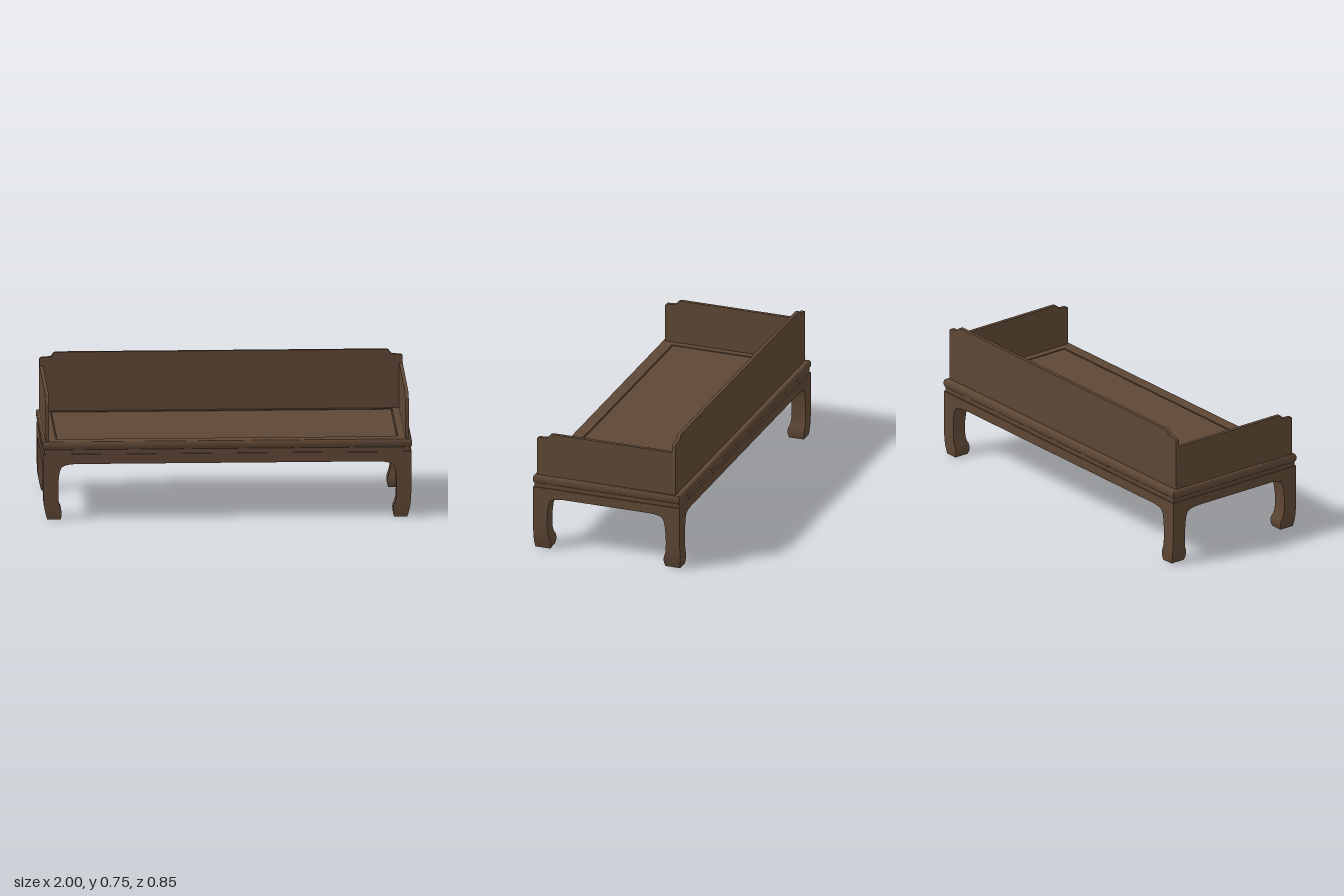
import * as THREE from 'three';
import { toCreasedNormals } from 'three/addons/utils/BufferGeometryUtils.js';

const wood = new THREE.MeshStandardMaterial({ color: 0x5e4735 });
wood.name = 'dark brown wood';

function part(name, geometry, parent) {
  const mesh = new THREE.Mesh(geometry, wood);
  mesh.name = name;
  parent.add(mesh);
  return mesh;
}

// Skins a stack of rectangles [x0, x1, z0, z1, y], listed from the bottom up.
function loft(sections, capped) {
  const rings = sections.map(([x0, x1, z0, z1, y]) =>
    [[x0, y, z1], [x1, y, z1], [x1, y, z0], [x0, y, z0]]);
  const pos = [];
  const quad = (a, b, c, d) => pos.push(...a, ...b, ...c, ...a, ...c, ...d);
  for (let i = 0; i < rings.length - 1; i++) {
    for (let k = 0; k < 4; k++) {
      const n = (k + 1) % 4;
      quad(rings[i][k], rings[i][n], rings[i + 1][n], rings[i + 1][k]);
    }
  }
  if (capped) {
    const b = rings[0], t = rings[rings.length - 1];
    quad(b[3], b[2], b[1], b[0]);
    quad(t[0], t[1], t[2], t[3]);
  }
  const g = new THREE.BufferGeometry();
  g.setAttribute('position', new THREE.Float32BufferAttribute(pos, 3));
  return toCreasedNormals(g, 0.6);
}

// Rectangular frame from a closed profile of [half width, half depth, y].
const frame = (profile) =>
  loft([...profile, profile[0]].map(([x, z, y]) => [-x, x, -z, z, y]), false);

function extrude(shape, depth) {
  const g = new THREE.ExtrudeGeometry(shape, { depth, bevelEnabled: false, curveSegments: 8 });
  return toCreasedNormals(g, 0.6);
}

// Apron with rounded spandrels; "inner" is where the leg's inside face stands.
function apronShape(inner) {
  const s = new THREE.Shape();
  const end = inner + 0.045;
  s.moveTo(-end, 0.36);
  s.lineTo(-end, 0.2);
  s.lineTo(-inner, 0.2);
  s.bezierCurveTo(-inner + 0.003, 0.25, -inner + 0.008, 0.275, -inner + 0.018, 0.288);
  s.bezierCurveTo(-inner + 0.032, 0.302, -inner + 0.06, 0.305, -inner + 0.095, 0.307);
  s.lineTo(inner - 0.095, 0.307);
  s.bezierCurveTo(inner - 0.06, 0.305, inner - 0.032, 0.302, inner - 0.018, 0.288);
  s.bezierCurveTo(inner - 0.008, 0.275, inner - 0.003, 0.25, inner, 0.2);
  s.lineTo(end, 0.2);
  s.lineTo(end, 0.36);
  s.closePath();
  return s;
}

// Stepped, rounded shoulder, running from the outer end "u" to the top edge.
function shoulder(s, u, top, dir) {
  const p = (d, h) => [u - d * dir, top - h];
  s.lineTo(...p(0, 0.04));
  s.bezierCurveTo(...p(0.001, 0.031), ...p(0.01, 0.028), ...p(0.025, 0.028));
  s.lineTo(...p(0.055, 0.026));
  s.bezierCurveTo(...p(0.074, 0.022), ...p(0.066, 0.002), ...p(0.092, 0));
}

export function createModel() {
  const model = new THREE.Group();
  model.name = 'daybed';

  // Seat frame with a rounded rim and a ledge for the panel
  const rim = [];
  for (let i = 0; i <= 10; i++) {
    const a = -Math.PI / 2 + (i / 10) * Math.PI;
    const r = 0.009 * (1 - Math.cos(a));
    rim.push([1 - r, 0.424 - r, 0.407 + 0.023 * Math.sin(a)]);
  }
  part('seatFrame', frame([
    [0.9, 0.33, 0.4], [0.9, 0.33, 0.384], ...rim,
    [0.925, 0.352, 0.43], [0.925, 0.352, 0.415], [0.9, 0.33, 0.415],
  ]), model);
  const panel = part('seatPanel', new THREE.BoxGeometry(1.838, 0.013, 0.692), model);
  panel.position.y = 0.4215;

  // Recessed waist under the seat
  part('waist', frame([
    [0.94, 0.365, 0.36], [0.991, 0.417, 0.36], [0.991, 0.417, 0.386], [0.94, 0.365, 0.386],
  ]), model);

  // Hoof-footed legs: [y, outer x, inner x, outer z, inner z]
  const legProfile = [
    [0, 0.974, 0.902, 0.419, 0.334], [0.02, 0.98, 0.897, 0.421, 0.328],
    [0.04, 0.985, 0.896, 0.423, 0.326], [0.06, 0.989, 0.9, 0.4235, 0.33],
    [0.08, 0.992, 0.908, 0.424, 0.338], [0.105, 0.994, 0.913, 0.424, 0.342],
    [0.15, 0.996, 0.915, 0.424, 0.344], [0.2, 0.997, 0.914, 0.424, 0.342],
    [0.25, 0.997, 0.91, 0.424, 0.337], [0.288, 0.997, 0.9, 0.424, 0.327],
    [0.302, 0.997, 0.89, 0.424, 0.315], [0.36, 0.997, 0.89, 0.424, 0.315],
  ];
  for (const sx of [1, -1]) {
    for (const sz of [1, -1]) {
      const sections = legProfile.map(([y, xo, xi, zo, zi]) => [
        Math.min(sx * xo, sx * xi), Math.max(sx * xo, sx * xi),
        Math.min(sz * zo, sz * zi), Math.max(sz * zo, sz * zi), y]);
      const side = sx > 0 ? 'Left' : 'Right';
      part((sz > 0 ? 'front' : 'back') + side + 'Leg', loft(sections, true), model);
    }
  }

  // Aprons between the legs
  const thick = 0.055;
  const longApron = extrude(apronShape(0.914), thick);
  const shortApron = extrude(apronShape(0.342), thick);
  part('frontApron', longApron, model).position.z = 0.424 - thick;
  part('backApron', longApron, model).position.z = -0.424;
  for (const [name, x] of [['leftApron', 0.997 - thick], ['rightApron', -0.997]]) {
    const apron = part(name, shortApron, model);
    apron.rotation.y = Math.PI / 2;
    apron.position.x = x;
  }

  // Back rail
  const back = new THREE.Shape();
  back.moveTo(-0.983, 0.428);
  back.lineTo(0.983, 0.428);
  shoulder(back, 0.983, 0.754, 1);
  back.lineTo(-0.891, 0.754);
  // Mirrored shoulder, followed from the top edge outward
  back.bezierCurveTo(-0.917, 0.752, -0.909, 0.732, -0.928, 0.728);
  back.lineTo(-0.958, 0.726);
  back.bezierCurveTo(-0.973, 0.726, -0.982, 0.723, -0.983, 0.714);
  back.closePath();
  part('backRail', extrude(back, 0.02), model).position.z = -0.395;

  // Side rails, drawn with the front end toward -x and turned to face +z
  const sideShape = new THREE.Shape();
  sideShape.moveTo(0.375, 0.428);
  sideShape.lineTo(0.375, 0.677);
  sideShape.lineTo(-0.315, 0.677);
  sideShape.bezierCurveTo(-0.341, 0.675, -0.333, 0.655, -0.352, 0.651);
  sideShape.lineTo(-0.382, 0.649);
  sideShape.bezierCurveTo(-0.397, 0.649, -0.406, 0.646, -0.407, 0.637);
  sideShape.lineTo(-0.407, 0.428);
  sideShape.closePath();
  const sideGeometry = extrude(sideShape, 0.02);
  for (const [name, x] of [['leftRail', 0.963], ['rightRail', -0.983]]) {
    const rail = part(name, sideGeometry, model);
    rail.rotation.y = Math.PI / 2;
    rail.position.x = x;
  }
  return model;
}
